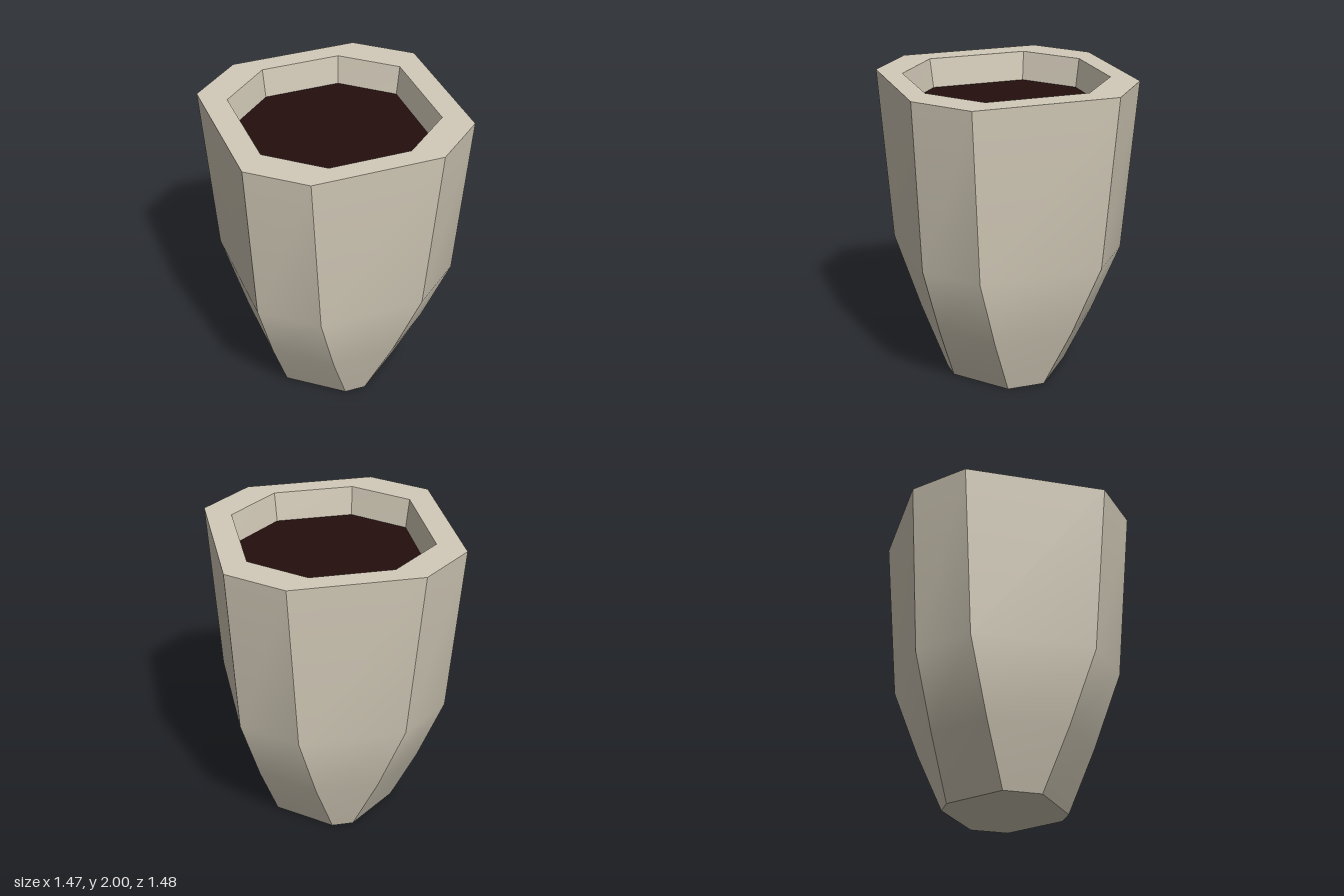
import * as THREE from 'three';

// Eight corners of a chamfered rectangle at height y, running from +x towards +z.
function ring(y, hx, hz, fx, fz, cx = 0) {
  return [
    [hx, -fz], [hx, fz], [fx, hz], [-fx, hz],
    [-hx, fz], [-hx, -fz], [-fx, -hz], [fx, -hz],
  ].map(([x, z]) => [x + cx, y, z]);
}

// Skins successive rings with eight separate strips: each panel is smooth
// along its length while the edges between panels stay sharp.
function skin(rings) {
  const pos = [], idx = [];
  for (let i = 0; i < 8; i++) {
    const base = pos.length / 3;
    for (const r of rings) pos.push(...r[(i + 1) % 8], ...r[i]);
    for (let k = 0; k < rings.length - 1; k++) {
      const a = base + k * 2;
      idx.push(a, a + 1, a + 3, a, a + 3, a + 2);
    }
  }
  const g = new THREE.BufferGeometry();
  g.setAttribute('position', new THREE.Float32BufferAttribute(pos, 3));
  g.setIndex(idx);
  g.computeVertexNormals();
  return g;
}

export function createModel() {
  const stone = new THREE.MeshStandardMaterial({ color: 0xd2cab8 });
  stone.name = 'stone';
  const earth = new THREE.MeshStandardMaterial({ color: 0x250e0e });
  earth.name = 'darkSoil';

  const group = new THREE.Group();
  group.name = 'planter';
  const add = (name, rings, material) => {
    const mesh = new THREE.Mesh(skin(rings), material);
    mesh.name = name;
    group.add(mesh);
  };

  // Outer profile, from foot to rim
  const outer = [
    ring(0, 0.395, 0.395, 0.07, 0.125, 0.006),
    ring(0.4, 0.53, 0.53, 0.205, 0.26, 0.005),
    ring(0.88, 0.665, 0.67, 0.34, 0.4, 0.004),
    ring(2, 0.737, 0.738, 0.415, 0.465),
  ];
  // Opening and the soil level inside it
  const lip = ring(2, 0.58, 0.605, 0.26, 0.33);
  const soilEdge = ring(1.81, 0.555, 0.58, 0.25, 0.315);

  add('outerWall', outer, stone);
  add('base', [ring(0, 0, 0, 0, 0, 0.006), outer[0]], stone);
  add('rim', [outer[3], lip], stone);
  add('innerWall', [lip, soilEdge], stone);
  add('soil', [soilEdge, ring(1.81, 0, 0, 0, 0)], earth);
  return group;
}
